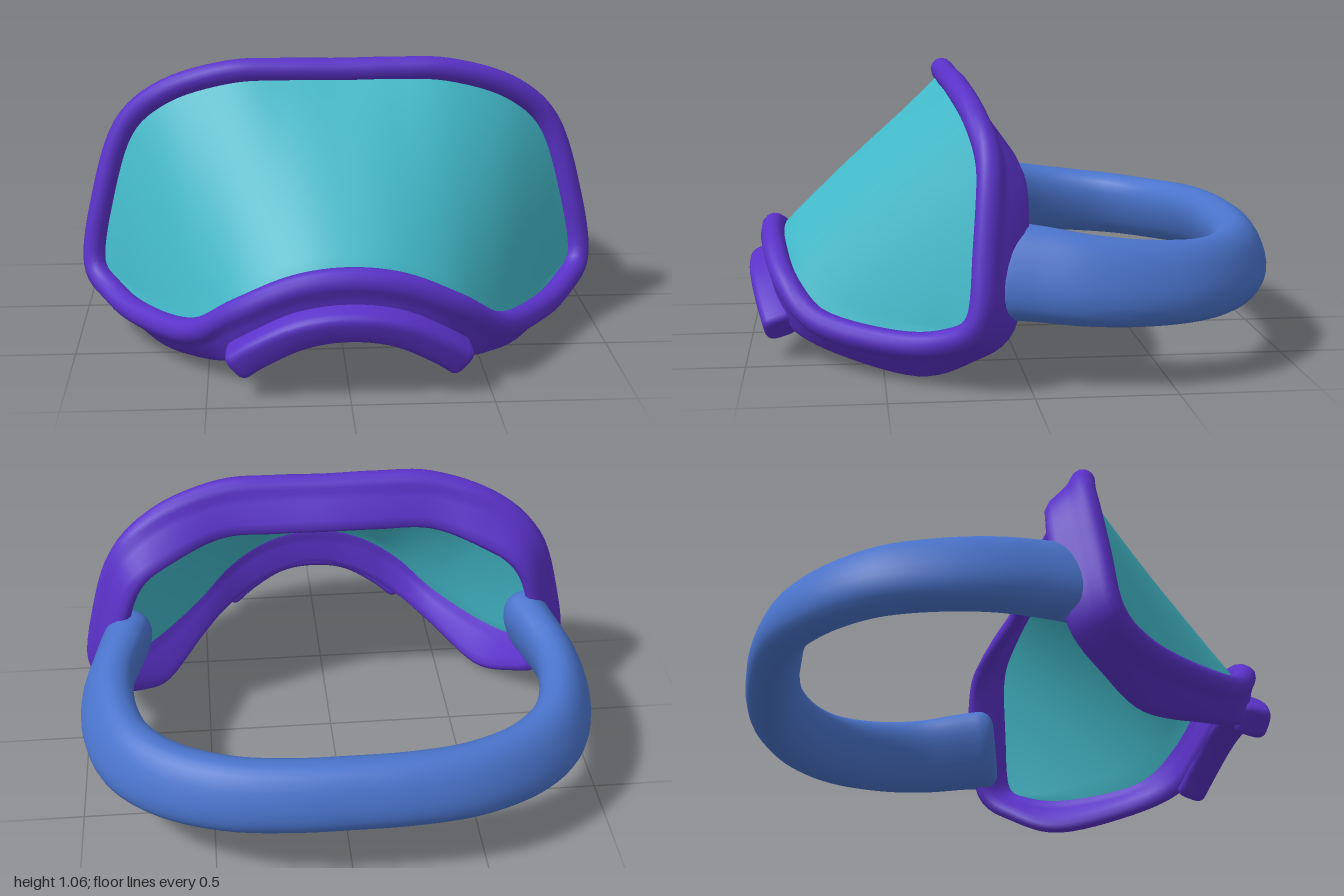
import * as THREE from 'three';

const V = (x, y, z) => new THREE.Vector3(x, y, z);

// Skin a list of equal-length rings; optionally join the last ring to the first, or cap the ends.
function loft(rings, { loop = false, caps = false, openRing = false } = {}) {
  const m = rings[0].length, n = rings.length, pos = [], idx = [];
  rings.forEach(r => r.forEach(p => pos.push(p.x, p.y, p.z)));
  for (let i = 0; i < (loop ? n : n - 1); i++) {
    for (let j = 0; j < (openRing ? m - 1 : m); j++) {
      const k = (i + 1) % n, l = (j + 1) % m;
      const a = i * m + j, b = k * m + j, c = k * m + l, d = i * m + l;
      idx.push(a, d, c, a, c, b);
    }
  }
  if (caps) {
    [0, n - 1].forEach((i, e) => {
      const mid = rings[i].reduce((s, p) => s.add(p), V(0, 0, 0)).divideScalar(m);
      const c = pos.length / 3;
      pos.push(mid.x, mid.y, mid.z);
      for (let j = 0; j < m; j++) {
        const a = i * m + j, b = i * m + (j + 1) % m;
        e ? idx.push(c, a, b) : idx.push(c, b, a);
      }
    });
  }
  const g = new THREE.BufferGeometry();
  g.setAttribute('position', new THREE.Float32BufferAttribute(pos, 3));
  g.setIndex(idx);
  g.computeVertexNormals();
  return g;
}

// Mirror a half path that ends on x = 0 into a full symmetric path.
const mirrorPath = half => [
  ...half, ...half.slice(0, -1).reverse().map(p => V(-p.x, p.y, p.z))];

// Sweep a tilted rounded-box section with rounded ends; size(t) gives [half depth, half height].
function sweep(points, size, { power, tilt, steps, endLength }) {
  const curve = new THREE.CatmullRomCurve3(points);
  const rings = [];
  for (let i = 0; i <= steps; i++) {
    const t = (1 - Math.cos(Math.PI * i / steps)) / 2;
    const c = curve.getPointAt(t), T = curve.getTangentAt(t);
    const e1 = T.clone().cross(V(0, 1, 0)).normalize().applyAxisAngle(T, -tilt);
    const e2 = T.clone().cross(e1);
    const k = Math.min(1, Math.min(t, 1 - t) / endLength);
    const round = 0.6 + 0.4 * Math.sqrt(1 - (1 - k) ** 2);
    const [w, h] = size(t);
    const ring = [];
    for (let j = 0; j < 28; j++) {
      const a = j / 28 * Math.PI * 2, co = Math.cos(a), si = Math.sin(a);
      ring.push(c.clone()
        .addScaledVector(e1, Math.sign(co) * Math.abs(co) ** power * w * round)
        .addScaledVector(e2, Math.sign(si) * Math.abs(si) ** power * h * round));
    }
    rings.push(ring);
  }
  return loft(rings, { caps: true });
}

// Half of the frame, top centre round to nose centre: front bead point, then back edge point.
const stations = [
  [V(0, 1.015, 0.22), V(0, 0.865, 0.11)],
  [V(0.2, 1.018, 0.22), V(0.2, 0.86, 0.12)],
  [V(0.42, 1.01, 0.215), V(0.41, 0.85, 0.125)],
  [V(0.66, 0.93, 0.175), V(0.6, 0.79, 0.065)],
  [V(0.82, 0.78, 0.14), V(0.75, 0.7, 0.01)],
  [V(0.91, 0.5, 0.16), V(0.82, 0.5, 0.01)],
  [V(0.945, 0.26, 0.19), V(0.86, 0.22, 0.06)],
  [V(0.87, 0.175, 0.3), V(0.79, 0.095, 0.19)],
  [V(0.75, 0.15, 0.48), V(0.67, 0.012, 0.37)],
  [V(0.56, 0.185, 0.73), V(0.51, 0.055, 0.65)],
  [V(0.4, 0.3, 0.85), V(0.37, 0.115, 0.82)],
  [V(0.2, 0.4, 0.9), V(0.19, 0.21, 0.875)],
  [V(0, 0.43, 0.91), V(0, 0.25, 0.89)],
];
const closedCurve = k => new THREE.CatmullRomCurve3(
  mirrorPath(stations.map(s => s[k])).slice(0, -1), true, 'catmullrom', 0.5);

// Frame section: a rounded bead in front and a band running to the back edge.
function frameGeometry() {
  const front = closedCurve(0), back = closedCurve(1), rings = [], N = 144;
  for (let i = 0; i < N; i++) {
    const F = front.getPoint(i / N), d = back.getPoint(i / N).sub(F);
    const L = d.length();
    d.normalize();
    const n = front.getTangent(i / N).cross(d).normalize();
    const upper = [[L - 0.008, 0.02], [L - 0.04, 0.034], [0.065, 0.034], [0.04, 0.037],
      [0.02, 0.043], [0, 0.045], [-0.025, 0.038], [-0.04, 0.02]];
    const profile = [[L, 0], ...upper, [-0.045, 0],
      ...upper.slice().reverse().map(([u, v]) => [u, -v])];
    rings.push(profile.map(([u, v]) => F.clone().addScaledVector(d, u).addScaledVector(n, v)));
  }
  return loft(rings, { loop: true });
}

// Lens: shallow spans from the upper edge down to the recessed lower edge, then into the band.
function lensGeometry() {
  const front = closedCurve(0), back = closedCurve(1), rings = [], N = 72, M = 14;
  const centre = V(0, 0.6, 0.4);
  for (let i = 0; i <= N; i++) {
    const s = -0.25 + 0.5 * i / N, mid = Math.cos(2 * Math.PI * s);
    const upperT = (s + 1) % 1, lowerT = 0.5 - s;
    const top = front.getPoint(upperT).lerp(centre, 0.035), ring = [];
    const bottom = front.getPoint(lowerT).lerp(centre, 0.035 + 0.065 * mid);
    for (let j = 0; j <= M; j++) {
      const bulge = 0.015 * mid * Math.sin(Math.PI * j / M);
      ring.push(top.clone().lerp(bottom, j / M).add(V(0, 0.75 * bulge, 0.65 * bulge)));
    }
    ring.push(front.getPoint(lowerT).lerp(back.getPoint(lowerT), 0.4 * mid));
    rings.push(ring);
  }
  return loft(rings, { openRing: true });
}

export function createModel() {
  const model = new THREE.Group();
  model.name = 'goggles';
  const add = (name, geometry, color, side = THREE.FrontSide) => {
    const mesh = new THREE.Mesh(geometry, new THREE.MeshStandardMaterial({ color, side }));
    mesh.name = name;
    model.add(mesh);
  };

  add('frame', frameGeometry(), 0x5a32c8);
  add('lens', lensGeometry(), 0x42b8c8, THREE.DoubleSide);

  // Ridge under the nose arch, leaning back towards its lower edge
  const nose = mirrorPath([V(0.405, 0.117, 0.872), V(0.31, 0.188, 0.9),
    V(0.16, 0.265, 0.928), V(0, 0.288, 0.934)]);
  add('noseRidge', sweep(nose, () => [0.062, 0.06],
    { power: 0.55, tilt: 0.33, steps: 40, endLength: 0.03 }), 0x5a32c8);

  // Head strap, taller where it grips the frame, its upper edge leaning inward
  const strap = mirrorPath([V(0.81, 0.415, 0.12), V(0.845, 0.405, -0.02), V(0.886, 0.385, -0.2),
    V(0.878, 0.37, -0.38), V(0.81, 0.36, -0.58), V(0.67, 0.357, -0.73),
    V(0.45, 0.367, -0.845), V(0.22, 0.374, -0.888), V(0, 0.376, -0.895)]);
  add('strap', sweep(strap, t => {
    const e = Math.abs(2 * t - 1);
    return [0.094 - 0.01 * e + 0.016 * e ** 6, 0.133 + 0.042 * e * e];
  }, { power: 0.88, tilt: 0.38, steps: 110, endLength: 0.02 }), 0x4a74cc);

  return model;
}
